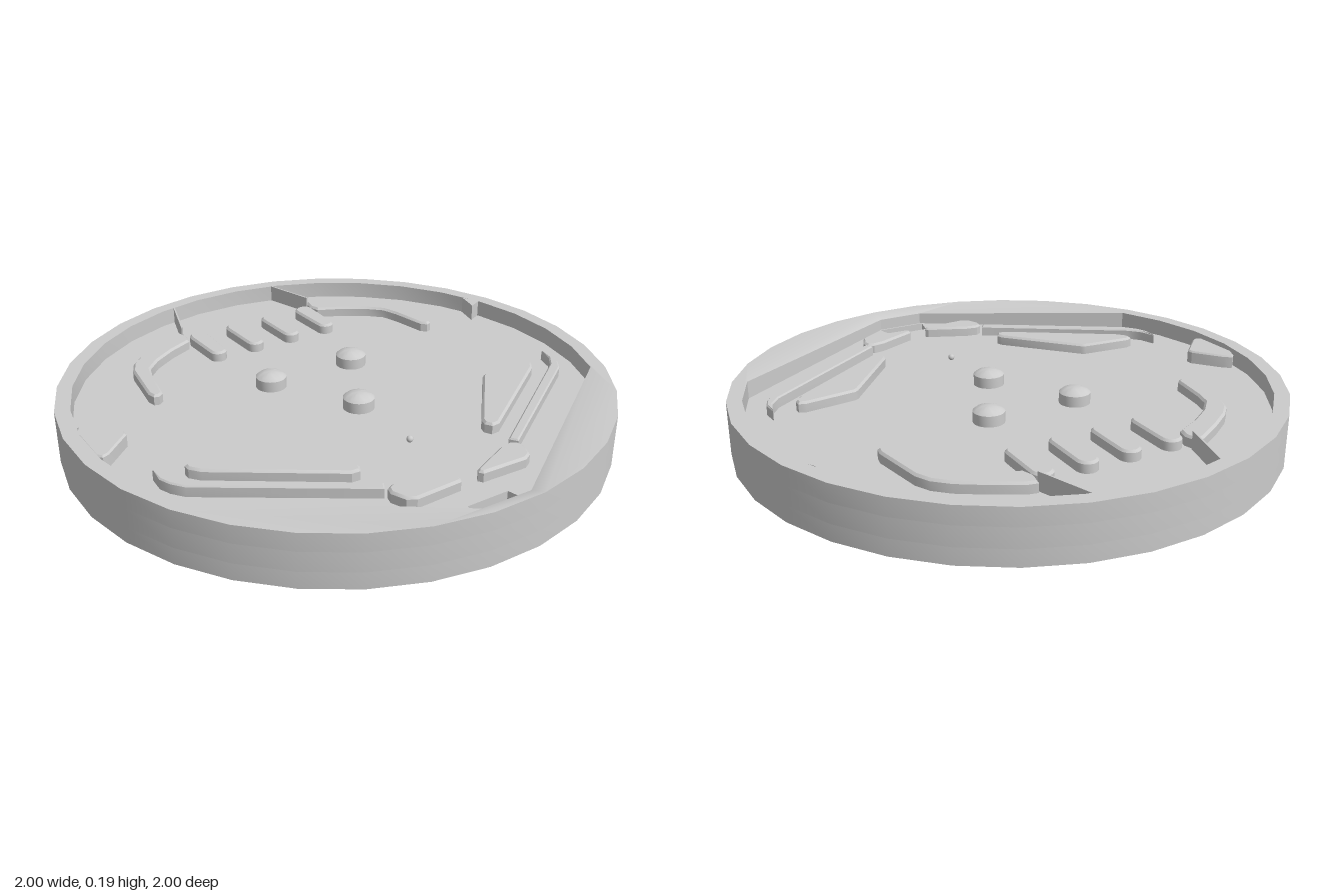
import * as THREE from 'three';
import { toCreasedNormals } from 'three/addons/utils/BufferGeometryUtils.js';

const SIDES = 32, TOP = 0.195, FLOOR = 0.13;
const material = new THREE.MeshStandardMaterial({ color: 0xcccccc });

// Plan points are [x, z]; shapes are extruded upwards
const plan = (pts) => pts.map(([x, z]) => new THREE.Vector2(x, -z));
const ring = (r) => Array.from({ length: SIDES }, (_, i) => {
  const a = ((i + 0.5) / SIDES) * Math.PI * 2;
  return [r * Math.cos(a), -r * Math.sin(a)];
});
const mirror = (pts, axis = 0) => pts.map(([x, z]) => [2 * axis - x, z]);

function slab(name, pts, y0, y1, { hole, bevel = 0, adjust } = {}) {
  const shape = new THREE.Shape(plan(pts));
  if (hole) shape.holes.push(new THREE.Path(plan(hole)));
  const geo = new THREE.ExtrudeGeometry(shape, {
    depth: y1 - y0 - bevel,
    bevelEnabled: bevel > 0, bevelThickness: bevel, bevelSize: bevel,
    bevelOffset: -bevel, bevelSegments: 1,
  });
  geo.rotateX(-Math.PI / 2).translate(0, y0, 0);
  if (adjust) adjust(geo.attributes.position);
  const mesh = new THREE.Mesh(toCreasedNormals(geo, 0.5), material);
  mesh.name = name;
  return mesh;
}

// Aprons dip slightly towards the drain
function dipAprons(pos) {
  for (let i = 0; i < pos.count; i++) {
    const x = pos.getX(i), z = pos.getZ(i);
    if (pos.getY(i) > TOP - 0.01 && z > 0.9 && Math.abs(x) < 0.12 && Math.hypot(x, z) < 0.97)
      pos.setY(i, TOP - 0.02);
  }
}

// Outline of a slot that narrows towards the front
function slotOutline(cx) {
  const pts = [];
  const cap = (z, r, start) => {
    for (let i = 0; i <= 8; i++) {
      const a = start + (i / 8) * Math.PI;
      pts.push([cx + r * Math.cos(a), z + r * Math.sin(a)]);
    }
  };
  cap(-0.5, 0.033, 0);
  cap(-0.662, 0.039, Math.PI);
  return pts;
}

export function createModel() {
  const group = new THREE.Group();
  const add = (...args) => group.add(slab(...args));

  // Dish: solid bottom, floor with a drain pit, raised rim with straight front aprons
  const outer = ring(1 / Math.cos(Math.PI / SIDES));
  const drain = [[-0.08, 0.858], [0.08, 0.858], [0.1, 0.938], [-0.1, 0.938]];
  const inner = ring(0.95).filter(([x, z]) => z < 0.46 || Math.abs(x) < 0.1);
  add('base', outer, 0, 0.06);
  add('floor', outer, 0.06, FLOOR, { hole: drain });
  add('rim', outer, FLOOR, TOP, { hole: inner, adjust: dipAprons });

  // Lane dividers
  for (const x of [-0.228, -0.063, 0.102, 0.267])
    add('laneDivider', slotOutline(x), FLOOR - 0.01, 0.17, { bevel: 0.008 });

  // Mirrored obstacles: outline, mirror axis
  const pairs = {
    curvedGuide: [[[-0.285, -0.73], [-0.32, -0.722], [-0.42, -0.665], [-0.51, -0.605], [-0.56, -0.555],
      [-0.585, -0.5], [-0.612, -0.3], [-0.605, -0.268], [-0.585, -0.263], [-0.565, -0.28], [-0.54, -0.42],
      [-0.52, -0.485], [-0.465, -0.54], [-0.38, -0.595], [-0.285, -0.64], [-0.273, -0.68]], 0.017],
    slingshot: [[[-0.72, 0.225], [-0.695, 0.215], [-0.5, 0.235], [-0.485, 0.245], [-0.262, 0.505], [-0.254, 0.53],
      [-0.268, 0.555], [-0.3, 0.553], [-0.69, 0.288], [-0.72, 0.25]], 0.003],
    sideRail: [[[-0.82, 0.2], [-0.802, 0.26], [-0.765, 0.306], [-0.25, 0.657], [-0.268, 0.685], [-0.775, 0.346],
      [-0.808, 0.302], [-0.824, 0.26]], 0.003],
    flipper: [[[-0.235, 0.675], [-0.19, 0.683], [-0.04, 0.75], [-0.032, 0.763], [-0.042, 0.778], [-0.215, 0.784],
      [-0.245, 0.767], [-0.266, 0.715], [-0.258, 0.688]], 0.003],
  };
  for (const [name, [pts, axis]] of Object.entries(pairs)) {
    const bevel = name === 'sideRail' ? 0.005 : 0.008;
    add(name + 'Right', pts, FLOOR - 0.01, 0.17, { bevel });
    add(name + 'Left', mirror(pts, axis), FLOOR - 0.01, 0.17, { bevel });
  }

  // Thin walls joining the back rim to the curved guides
  const wall = [[-0.218, -0.925], [-0.282, -0.715], [-0.276, -0.713], [-0.212, -0.925]];
  add('backWallRight', wall, FLOOR, TOP);
  add('backWallLeft', mirror(wall, 0.017), FLOOR, TOP);

  // Side blocks against the rim
  add('sideWedge', [[-0.942, -0.14], [-0.925, -0.175], [-0.905, -0.193], [-0.88, -0.175], [-0.802, -0.07],
    [-0.802, -0.045], [-0.9, 0.045], [-0.925, 0.055], [-0.942, 0.035]], FLOOR - 0.01, 0.18, { bevel: 0.006 });
  add('laneGate', [[0.875, -0.35], [0.853, -0.258], [0.91, -0.285]], FLOOR, TOP);

  // Domed bumpers
  const profile = [[0.057, 0], [0.057, 0.04], [0.045, 0.05], [0.025, 0.058], [0, 0.061]]
    .map(([r, y]) => new THREE.Vector2(r, y));
  const bumperGeo = toCreasedNormals(new THREE.LatheGeometry(profile, 32), 0.7);
  for (const [x, z] of [[-0.173, -0.178], [0.182, -0.178], [0.005, 0.14]]) {
    const bumper = new THREE.Mesh(bumperGeo, material);
    bumper.name = 'bumper';
    bumper.position.set(x, FLOOR, z);
    group.add(bumper);
  }

  // Ball
  const ball = new THREE.Mesh(new THREE.SphereGeometry(0.012, 16, 12), material);
  ball.name = 'ball';
  ball.position.set(0.007, FLOOR + 0.012, 0.445);
  group.add(ball);

  return group;
}
